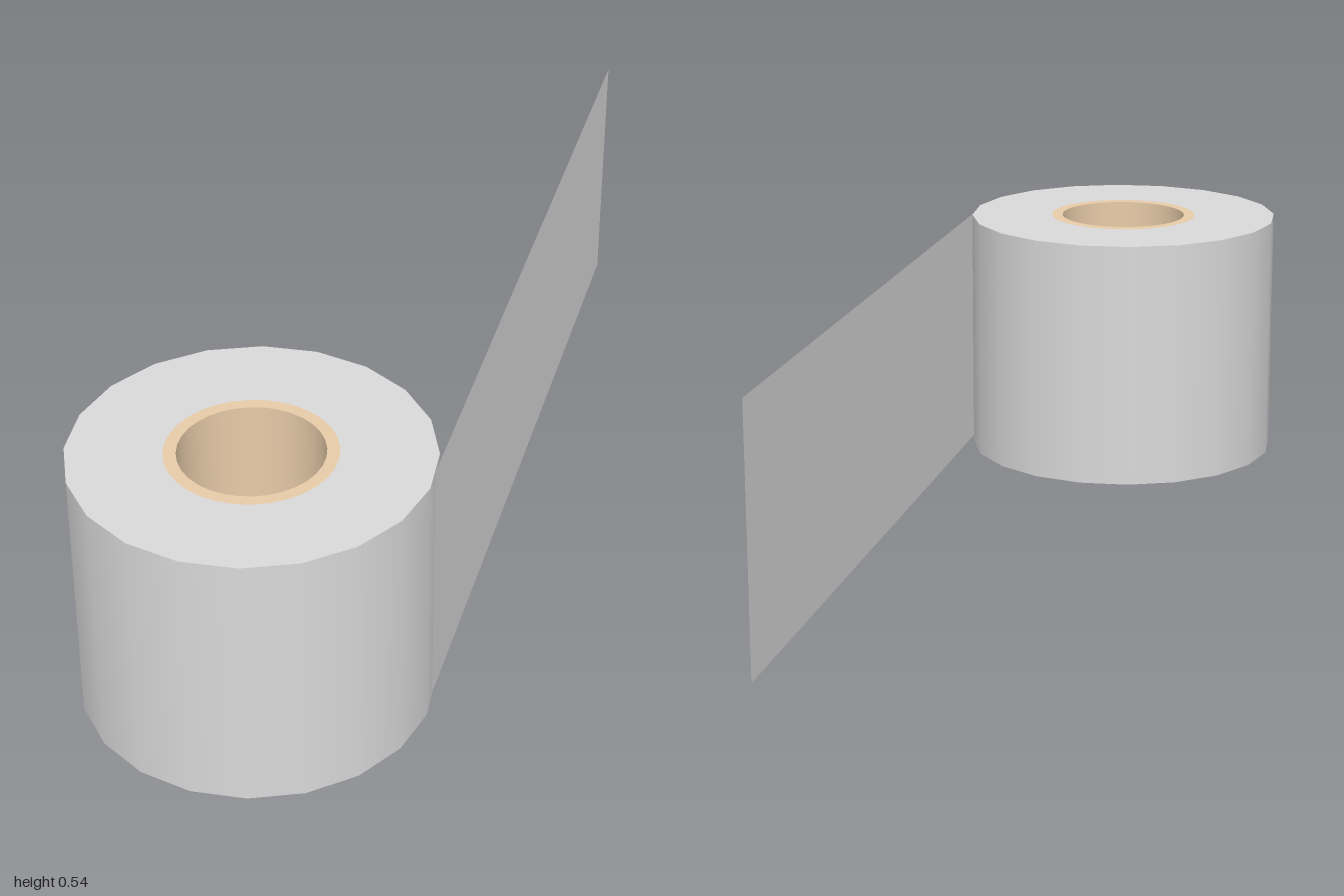
import * as THREE from 'three';

const HEIGHT = 0.536, OUTER = 0.343, CORE = 0.162, HOLE = 0.138, CENTRE_Z = 0.657;
const SIDES = 20, CORE_SIDES = 32;

// Points of a regular polygon
function ring(radius, sides) {
  return Array.from({ length: sides }, (_, i) => {
    const a = (i / sides) * Math.PI * 2;
    return new THREE.Vector2(Math.cos(a) * radius, Math.sin(a) * radius);
  });
}

// Flat annulus facing up (or down)
function annulus(outer, outerSides, inner, innerSides, y, up) {
  const shape = new THREE.Shape(ring(outer, outerSides));
  shape.holes.push(new THREE.Path(ring(inner, innerSides)));
  return new THREE.ShapeGeometry(shape).rotateX(up ? -Math.PI / 2 : Math.PI / 2).translate(0, y, 0);
}

export function createModel() {
  const tape = new THREE.MeshStandardMaterial({ color: 0xd9d9d9, side: THREE.DoubleSide });
  const cardboard = new THREE.MeshStandardMaterial({ color: 0xe8cca9 });
  tape.name = 'tape grey';
  cardboard.name = 'cardboard tan';

  const model = new THREE.Group();
  model.name = 'tapeRoll';
  const roll = new THREE.Group();
  roll.name = 'roll';
  roll.position.z = CENTRE_Z;
  model.add(roll);

  const add = (parent, name, geometry, material) => {
    const mesh = new THREE.Mesh(geometry, material);
    mesh.name = name;
    parent.add(mesh);
  };

  // Wound tape: outer wall
  add(roll, 'woundTape',
    new THREE.CylinderGeometry(OUTER, OUTER, HEIGHT, SIDES, 1, true).translate(0, HEIGHT / 2, 0), tape);

  // Cardboard core: inward-facing bore
  const bore = new THREE.LatheGeometry(
    [new THREE.Vector2(HOLE, HEIGHT), new THREE.Vector2(HOLE, 0)], CORE_SIDES);
  add(roll, 'coreBore', bore, cardboard);

  // End faces of tape and core
  for (const [label, y, up] of [['Top', HEIGHT, true], ['Bottom', 0, false]]) {
    add(roll, 'tape' + label, annulus(OUTER, SIDES, CORE, CORE_SIDES, y, up), tape);
    add(roll, 'core' + label, annulus(CORE, CORE_SIDES, HOLE, CORE_SIDES, y, up), cardboard);
  }

  // Loose strip leaving the left side of the roll and angling inward to the back
  const start = new THREE.Vector2(0.335, 0.602), end = new THREE.Vector2(0.222, -1);
  const run = end.clone().sub(start);
  const strip = new THREE.PlaneGeometry(run.length(), 0.526)
    .rotateY(Math.atan2(-run.y, run.x))
    .translate((start.x + end.x) / 2, 0.27, (start.y + end.y) / 2);
  add(model, 'looseStrip', strip, tape);

  return model;
}
